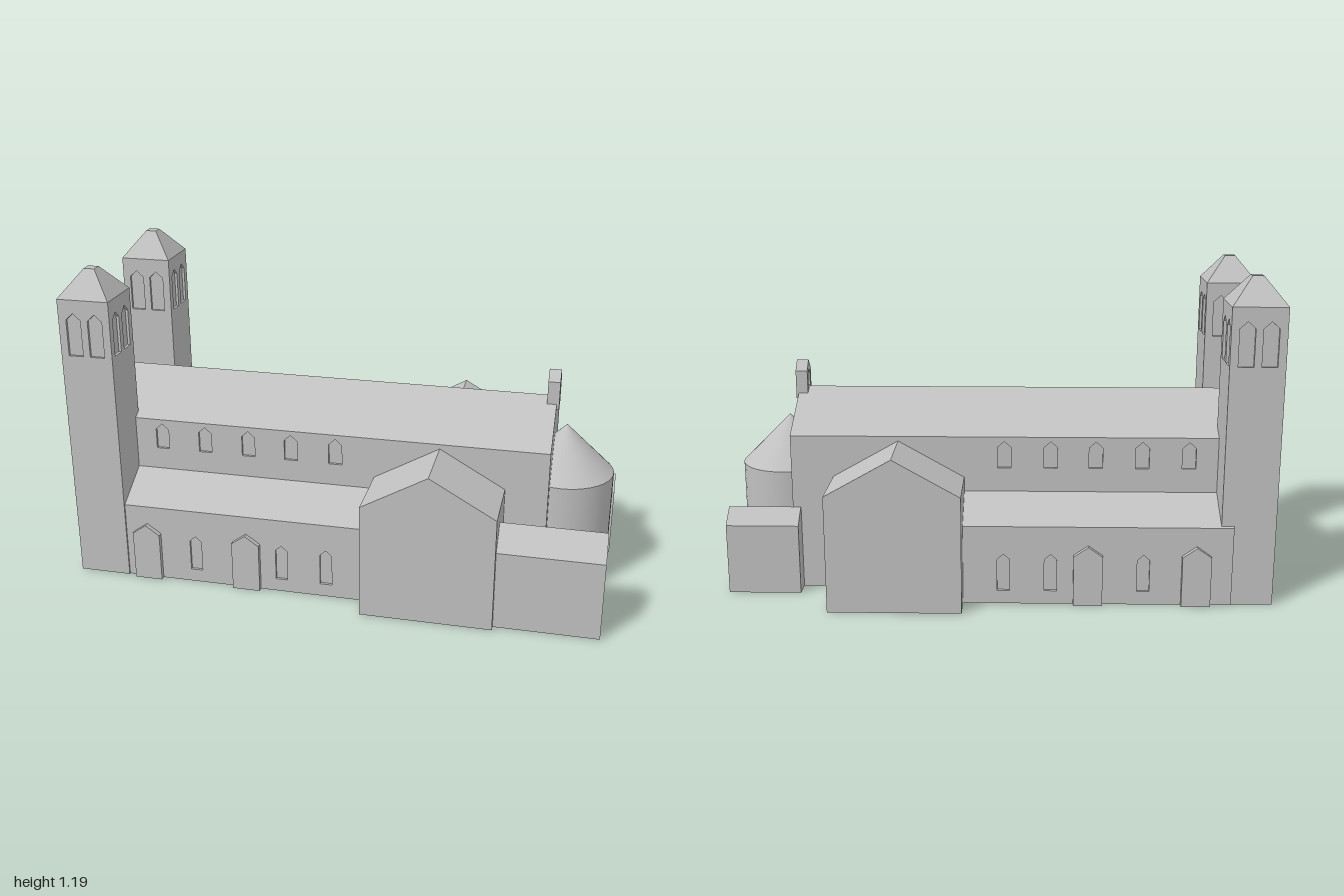
import * as THREE from 'three';

const D = 0.01; // depth of window and door recesses

export function createModel() {
  const stone = new THREE.MeshStandardMaterial({ color: 0xc0c0c0 });
  stone.name = 'pale stone';
  const model = new THREE.Group();
  model.name = 'church';

  function add(name, geometry, x, y, z, turn = 0, parent = model) {
    const mesh = new THREE.Mesh(geometry, stone);
    mesh.name = name;
    mesh.position.set(x, y, z);
    mesh.rotation.y = turn;
    parent.add(mesh);
    return mesh;
  }

  // box given by its limits
  function block(name, x0, x1, y0, y1, z0, z1, parent) {
    return add(name, new THREE.BoxGeometry(x1 - x0, y1 - y0, z1 - z0),
      (x0 + x1) / 2, (y0 + y1) / 2, (z0 + z1) / 2, 0, parent);
  }

  const polygon = (pts) => pts.map(([x, y]) => new THREE.Vector2(x, y));

  // pentagon with a pointed top: house gables and window openings
  const pointed = (u, w, y0, shoulder, top) => polygon([
    [u - w / 2, y0], [u + w / 2, y0], [u + w / 2, shoulder], [u, top], [u - w / 2, shoulder]]);

  function prism(points, length, holes = []) {
    const shape = new THREE.Shape(points);
    shape.holes = holes.map((h) => new THREE.Path(h));
    return new THREE.ExtrudeGeometry(shape, { depth: length, bevelEnabled: false });
  }

  const opening = (u, w, y0, y1) => pointed(u, w, y0, y1 - w * 0.45, y1);

  // thin wall skin with openings; its outer face lies at the given position
  function skin(name, w, y0, y1, holes, x, z, turn, parent) {
    const outline = polygon([[-w / 2, y0], [w / 2, y0], [w / 2, y1], [-w / 2, y1]]);
    const g = prism(outline, D, holes);
    g.translate(0, 0, -D);
    return add(name, g, x, 0, z, turn, parent);
  }

  // gabled house with its ridge along x
  function houseX(name, x0, x1, z0, z1, y0, eave, ridge) {
    return add(name, prism(pointed(0, z1 - z0, y0, eave, ridge), x1 - x0),
      x0, 0, (z0 + z1) / 2, Math.PI / 2);
  }

  const bays = [-0.7, -0.53, -0.36, -0.195, -0.025];

  // nave
  const N0 = -0.245, N1 = 0.235, W = -0.97, E = 0.76, NZ = (N0 + N1) / 2;
  block('naveCore', W + D, E, 0, 0.58, N0 + D, N1 - D);
  houseX('naveRoof', W, E, N0, N1, 0.578, 0.587, 0.72);
  skin('naveWestWall', N1 - N0, 0, 0.578,
    [opening(0, 0.12, 0.002, 0.17)], W, NZ, -Math.PI / 2);

  // clerestory walls and aisles on both sides
  for (const s of [1, -1]) {
    const side = s > 0 ? 'south' : 'north';
    const turn = s > 0 ? 0 : Math.PI;
    const mid = (W + E) / 2;
    skin(side + 'Clerestory', E - W, 0, 0.578,
      bays.map((x) => opening(s * (x - mid), 0.05, 0.47, 0.57)),
      mid, s > 0 ? N1 : N0, turn);

    const a0 = -0.85, a1 = 0.15, am = (a0 + a1) / 2, out = 0.393, inner = 0.22;
    const zs = [s * inner, s * (out - D)].sort((p, q) => p - q);
    block(side + 'AisleCore', a0, a1, 0, 0.28, zs[0], zs[1]);
    skin(side + 'AisleWall', a1 - a0, 0, 0.28,
      bays.map((x) => opening(s * (x - am), 0.045, 0.05, 0.19)), am, s * out, turn);
    // lean-to roof; local x runs along -z once turned
    const lean = polygon([[-s * out, 0.278], [-s * inner, 0.278], [-s * inner, 0.395], [-s * out, 0.295]]);
    add(side + 'AisleRoof', prism(lean, a1 - a0), a0, 0, 0, Math.PI / 2);

    // two shallow porches
    for (const x of [-0.72, -0.33]) {
      const porch = prism(pointed(0, 0.105, 0, 0.188, 0.225), 0.06);
      add(side + 'Porch', porch, x, 0, s > 0 ? 0.352 : -0.412);
    }
  }

  // transept
  add('transept', prism(pointed(0, 0.483, 0, 0.433, 0.57), 0.98), 0.3635, 0, -0.49);

  // apse with conical roof
  add('apse', new THREE.CylinderGeometry(0.183, 0.183, 0.43, 40), 0.803, 0.215, -0.006);
  add('apseRoof', new THREE.ConeGeometry(0.183, 0.18, 40), 0.803, 0.52, -0.006);

  // side chapels
  houseX('southChapel', 0.59, 0.982, 0.292, 0.467, 0, 0.297, 0.375);
  houseX('northChapel', 0.73, 0.997, -0.315, -0.185, 0, 0.262, 0.315);

  // bell gable: holed shell around a thin central plate
  const bell = pointed(0, 0.075, 0.68, 0.785, 0.822);
  add('bellGable', prism(bell, 0.044, [opening(0, 0.034, 0.72, 0.787)]), 0.725, 0, -0.004, Math.PI / 2);
  block('bellGableCore', 0.735, 0.759, 0.7, 0.787, -0.024, 0.016);

  // twin towers
  const T = 0.195, TH = 1.09;
  const belfry = [-0.041, 0.041].map((u) => opening(u, 0.055, 0.88, 1.04));
  const slits = [0.3, 0.495, 0.69].map((y) => opening(0, 0.045, y - 0.045, y + 0.045));
  for (const [name, z] of [['southTower', 0.302], ['northTower', -0.287]]) {
    const tower = new THREE.Group();
    tower.name = name;
    tower.position.set(-0.9025, 0, z);
    model.add(tower);
    const c = T / 2 - D;
    block('towerCore', -c, c, 0, TH, -c, c, tower);
    for (let i = 0; i < 4; i++) {
      const turn = i * Math.PI / 2;
      const holes = i === 3 ? [...belfry, ...slits] : belfry;
      skin('towerWall', i % 2 ? T : T - 2 * D, 0, TH, holes,
        Math.sin(turn) * T / 2, Math.cos(turn) * T / 2, turn, tower);
    }
    const roof = new THREE.CylinderGeometry(0.02 * Math.SQRT2, T / 2 * Math.SQRT2, 0.097, 4).toNonIndexed();
    roof.computeVertexNormals();
    add('towerRoof', roof, 0, TH + 0.0485, 0, Math.PI / 4, tower);
  }

  return model;
}
